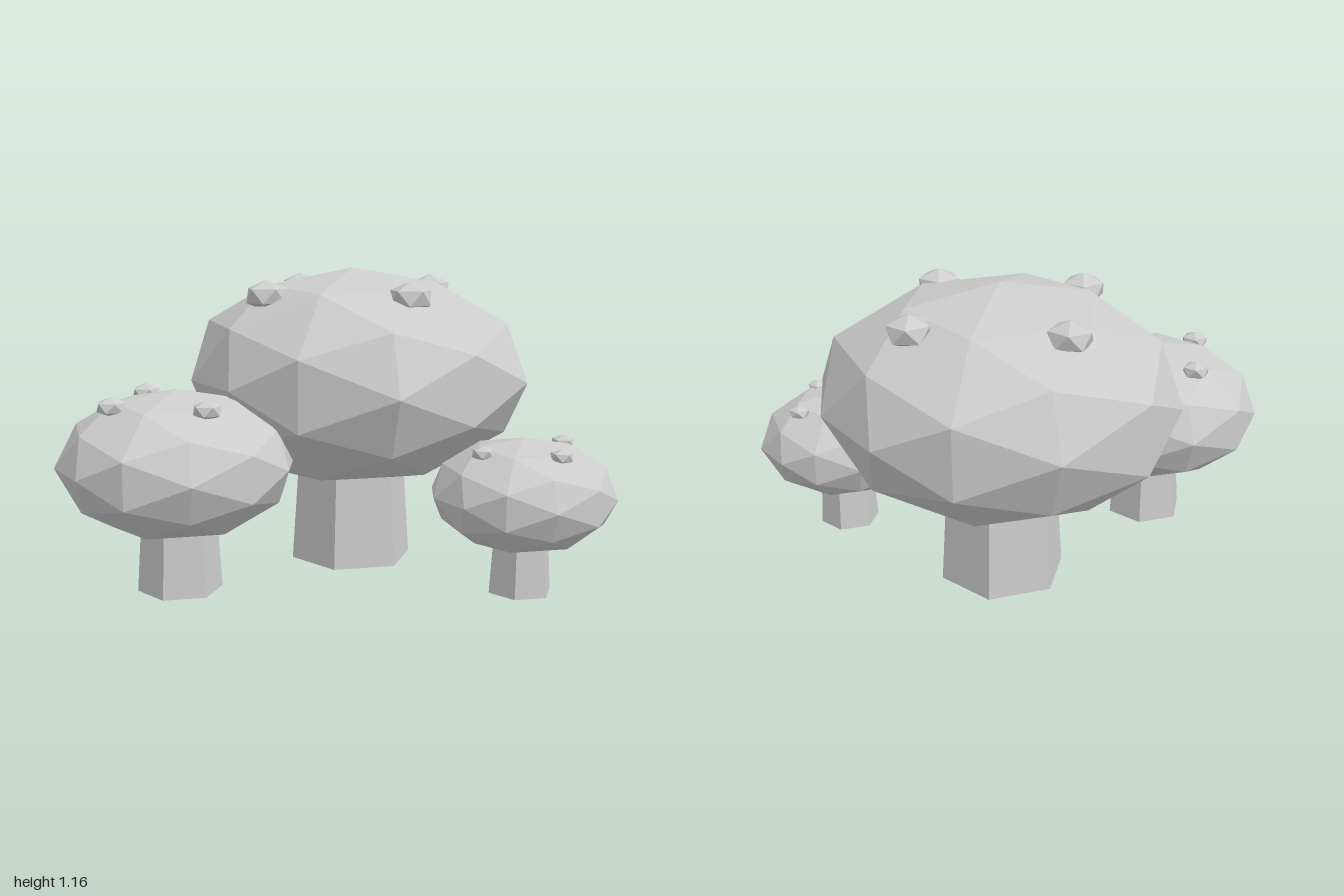
import * as THREE from 'three';

// Each mushroom: centre, stem radius, cap radius / half height / middle height,
// uneven rim factors every 30 degrees from +x towards +z, and wart positions.
const MUSHROOMS = [
  {
    name: 'largeMushroom', x: 0.17, z: -0.145, stem: 0.243, cap: 0.665, capH: 0.427, capY: 0.735,
    rim: [0.997, 1.05, 0.983, 1.02, 1, 0.967, 0.965, 1.007, 1.05, 0.988, 1, 0.99],
    wart: 0.088, wartH: 0.06, wartY: 1.065,
    warts: [[0.04, -0.515], [0.535, -0.285], [-0.195, -0.02], [0.3, 0.21]],
  },
  {
    name: 'mediumMushroom', x: -0.56, z: 0.157, stem: 0.157, cap: 0.435, capH: 0.272, capY: 0.475,
    rim: [0.99, 0.99, 1, 0.97, 1.03, 1.01, 1.02, 1.015, 1.04, 1.01, 1, 1],
    wart: 0.057, wartH: 0.036, wartY: 0.702,
    warts: [[-0.65, -0.085], [-0.8, 0.235], [-0.48, 0.385]],
  },
  {
    name: 'smallMushroom', x: 0.656, z: 0.462, stem: 0.12, cap: 0.337, capH: 0.208, capY: 0.367,
    rim: [1.015, 1.01, 1.015, 0.96, 1.01, 1, 1.005, 1, 1, 1, 0.985, 0.99],
    wart: 0.045, wartH: 0.028, wartY: 0.536,
    warts: [[0.478, 0.524], [0.84, 0.39], [0.725, 0.64]],
  },
];

// Flattened faceted ball whose outline is pushed in and out around the rim
function capGeometry({ cap, capH, rim }) {
  const geo = new THREE.IcosahedronGeometry(1, 1);
  const p = geo.attributes.position;
  for (let i = 0; i < p.count; i++) {
    const x = p.getX(i), z = p.getZ(i);
    const sector = (Math.round(Math.atan2(z, x) / (Math.PI / 6)) + 12) % 12;
    const r = cap * rim[sector];
    p.setXYZ(i, x * r, p.getY(i) * capH, z * r);
  }
  geo.computeVertexNormals();
  return geo;
}

export function createModel() {
  const group = new THREE.Group();
  group.name = 'mushroomCluster';
  const grey = new THREE.MeshStandardMaterial({ color: 0xcccccc, flatShading: true });
  grey.name = 'light grey';

  const add = (parent, name, geo, x, y, z) => {
    const mesh = new THREE.Mesh(geo, grey);
    mesh.name = name;
    mesh.position.set(x, y, z);
    parent.add(mesh);
    return mesh;
  };

  for (const m of MUSHROOMS) {
    const mushroom = new THREE.Group();
    mushroom.name = m.name;
    group.add(mushroom);

    // Tapered six-sided stem, ending inside the cap
    const h = m.capY;
    const stem = new THREE.CylinderGeometry(m.stem * 0.8, m.stem, h, 6);
    stem.rotateY(Math.PI / 6);
    add(mushroom, 'stem', stem, m.x, h / 2, m.z);

    add(mushroom, 'cap', capGeometry(m), m.x, m.capY, m.z);

    // Squashed warts with one corner pointing up
    m.warts.forEach(([x, z], i) => {
      const wart = new THREE.IcosahedronGeometry(m.wart, 0);
      wart.rotateZ(Math.atan(2 / (1 + Math.sqrt(5))));
      wart.rotateY(0.5 + i * 1.3);
      wart.scale(1, m.wartH / m.wart, 1);
      wart.computeVertexNormals();
      add(mushroom, 'wart', wart, x, m.wartY, z);
    });
  }
  return group;
}
